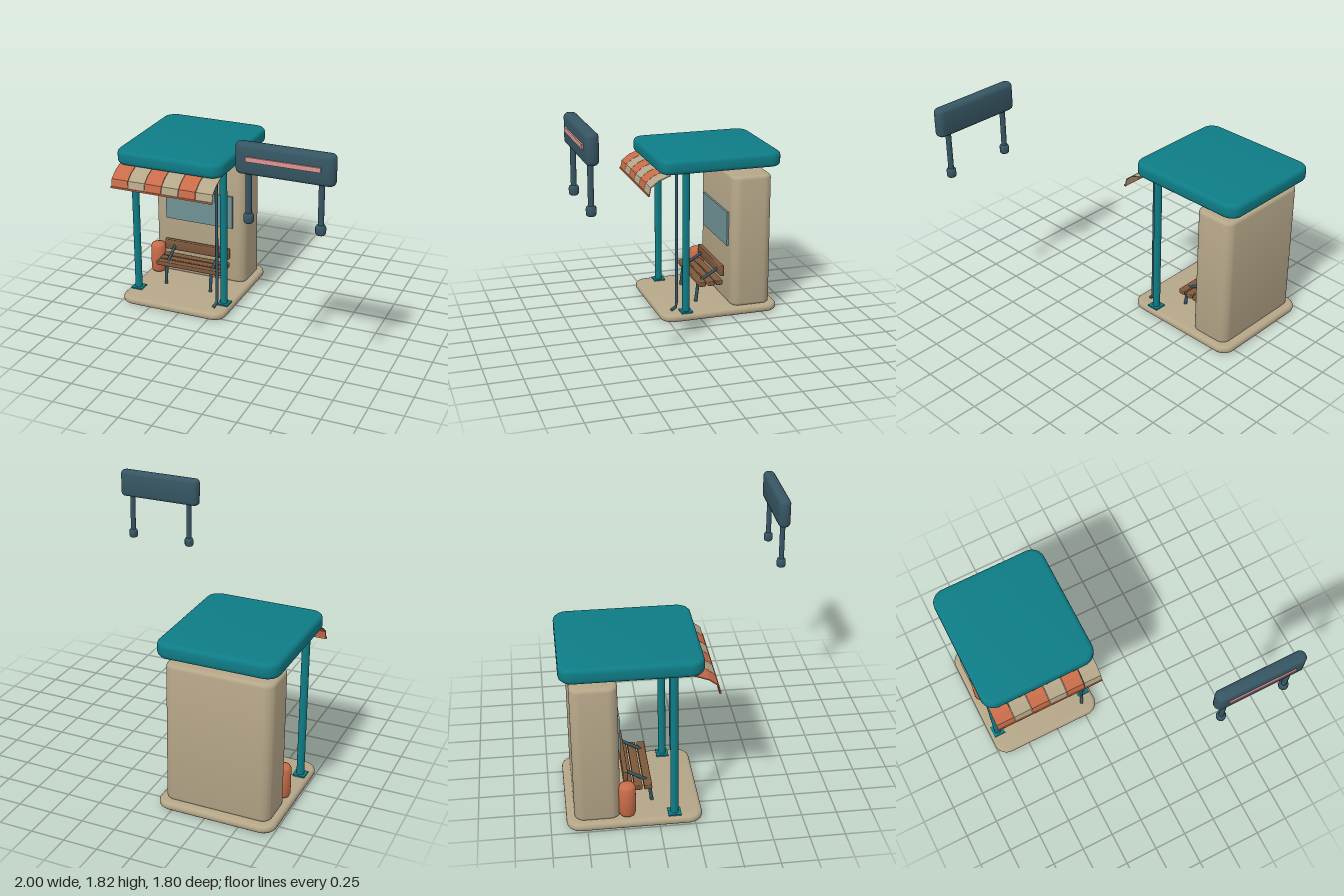
import * as THREE from 'three';
import { toCreasedNormals } from 'three/addons/utils/BufferGeometryUtils.js';

const material = (name, color) => {
  const m = new THREE.MeshStandardMaterial({ color });
  m.name = name;
  return m;
};

export function createModel() {
  const model = new THREE.Group();
  model.name = 'shelterWithSign';
  const teal = material('teal', 0x0e7c86);
  const cream = material('cream', 0xb5a688);
  const orange = material('orange', 0xc86c4a);
  const slate = material('slate', 0x36566300 >>> 8);
  const brown = material('wood', 0x7d583b);
  const glass = material('glass', 0x6f9195);
  const pink = material('pink', 0xdc9594);

  const add = (name, geometry, mat, parent = model) => {
    const mesh = new THREE.Mesh(geometry, mat);
    mesh.name = name;
    parent.add(mesh);
    return mesh;
  };
  const group = (name) => {
    const g = new THREE.Group();
    g.name = name;
    model.add(g);
    return g;
  };

  // Slab between limits: rounded in plan (radius r), edges bevelled by b
  const slab = (x0, x1, y0, y1, z0, z1, r, b) => {
    const w = (x1 - x0) / 2 - b, d = (z1 - z0) / 2 - b, c = r - b;
    const s = new THREE.Shape();
    s.moveTo(w, -d + c);
    s.absarc(w - c, d - c, c, 0, Math.PI / 2);
    s.absarc(-w + c, d - c, c, Math.PI / 2, Math.PI);
    s.absarc(-w + c, -d + c, c, Math.PI, Math.PI * 1.5);
    s.absarc(w - c, -d + c, c, Math.PI * 1.5, Math.PI * 2);
    const g = new THREE.ExtrudeGeometry(s, {
      depth: y1 - y0 - 2 * b, bevelThickness: b, bevelSize: b, bevelSegments: 3, curveSegments: 6,
    });
    g.rotateX(-Math.PI / 2);
    g.translate((x0 + x1) / 2, y0 + b, (z0 + z1) / 2);
    return toCreasedNormals(g, 0.7);
  };
  const box = (x0, x1, y0, y1, z0, z1) =>
    new THREE.BoxGeometry(x1 - x0, y1 - y0, z1 - z0)
      .translate((x0 + x1) / 2, (y0 + y1) / 2, (z0 + z1) / 2);
  const column = (x, z, r, y0, y1, sides = 16) =>
    new THREE.CylinderGeometry(r, r, y1 - y0, sides).translate(x, (y0 + y1) / 2, z);

  // Cylinder with chamfered ends
  const drum = (x, z, r, y0, y1, b, sides) => {
    const k = b * 0.3;
    const profile = [[0, y0], [r - b, y0], [r - k, y0 + k], [r, y0 + b],
      [r, y1 - b], [r - k, y1 - k], [r - b, y1], [0, y1]];
    const g = new THREE.LatheGeometry(profile.map((p) => new THREE.Vector2(...p)), sides);
    return toCreasedNormals(g.translate(x, 0, z), 0.8);
  };
  // Round bar through a list of points
  const bar = (points, r) => {
    const path = new THREE.CurvePath();
    const v = points.map((p) => new THREE.Vector3(...p));
    for (let i = 1; i < v.length; i++) path.add(new THREE.LineCurve3(v[i - 1], v[i]));
    return new THREE.TubeGeometry(path, 24, r, 10);
  };

  // Floor, back building and roof
  add('base', slab(-1, -0.13, 0, 0.06, -0.89, 0.055, 0.1, 0.025), cream);
  add('building', slab(-0.955, -0.175, 0.055, 1.1, -0.835, -0.515, 0.07, 0.025), cream);
  add('roof', slab(-1, -0.13, 1.17, 1.28, -0.9, 0.063, 0.1, 0.03), teal);
  add('ceilingPanel', box(-0.94, -0.19, 1.163, 1.172, -0.82, -0.01), teal);
  add('window', box(-0.85, -0.275, 0.53, 0.8, -0.52, -0.5), glass);

  // Posts with foot plates, and ceiling lamps
  for (const x of [-0.93, -0.192]) {
    add('post', column(x, -0.142, 0.028, 0.05, 1.175), teal);
    add('footPlate', box(x - 0.045, x + 0.045, 0.058, 0.07, -0.187, -0.097), teal);
  }
  for (const x of [-0.32, -0.81]) {
    add('lampRim', column(x, -0.213, 0.045, 1.155, 1.165), slate);
    add('lamp', column(x, -0.213, 0.036, 1.151, 1.157), cream);
  }

  // Drainpipe with a kicked-out end
  add('drainpipe', bar([[-0.222, 1.17, -0.077], [-0.222, 0.1, -0.077], [-0.24, 0.064, -0.038]], 0.012), slate);

  // Striped awning
  const awning = group('awning');
  const curve = [[-0.01, 1.172], [0.087, 1.135], [0.145, 1.09], [0.16, 1.025]];
  const section = new THREE.Shape([
    ...curve, ...curve.map(([z, y]) => [z - 0.005, y - 0.006]).reverse(),
  ].map((p) => new THREE.Vector2(...p)));
  const stripe = 0.825 / 6;
  for (let i = 0; i < 6; i++) {
    const g = new THREE.ExtrudeGeometry(section, { depth: stripe - 0.004, bevelEnabled: false });
    g.rotateY(-Math.PI / 2).translate(-0.977 + stripe * (i + 1), 0, 0);
    add('awningStripe', g, i % 2 ? cream : orange, awning);
  }
  add('awningHem', box(-0.977, -0.15, 1.022, 1.034, 0.152, 0.165), orange, awning);

  // Bench: three seat slats, a back slat and bent side frames
  const bench = group('bench');
  for (const z of [-0.342, -0.41, -0.477])
    add('seatSlat', slab(-0.845, -0.285, 0.207, 0.243, z, z + 0.057, 0.012, 0.006), brown, bench);
  add('backSlat', slab(-0.845, -0.285, 0.278, 0.363, -0.487, -0.453, 0.012, 0.006), brown, bench);
  for (const x of [-0.758, -0.372]) {
    add('benchLeg', bar([[x, 0.06, -0.282], [x, 0.225, -0.302]], 0.013), slate, bench);
    add('benchArm', bar([[x, 0.225, -0.302], [x, 0.32, -0.468]], 0.012), slate, bench);
  }

  // Litter bin
  add('bin', drum(-0.912, -0.468, 0.06, 0.065, 0.315, 0.028, 24), orange);

  // Free sign on two legs
  const sign = group('sign');
  add('signPanel', slab(0.328, 1, 1.607, 1.817, 0.8, 0.89, 0.044, 0.028), slate, sign);
  add('signStripe', box(0.41, 0.912, 1.703, 1.735, 0.888, 0.9), pink, sign);
  for (const x of [0.415, 0.907]) {
    add('signLeg', column(x, 0.845, 0.02, 1.3, 1.62, 12), slate, sign);
    add('signFoot', drum(x, 0.845, 0.035, 1.26, 1.332, 0.018, 10), slate, sign);
  }
  return model;
}
